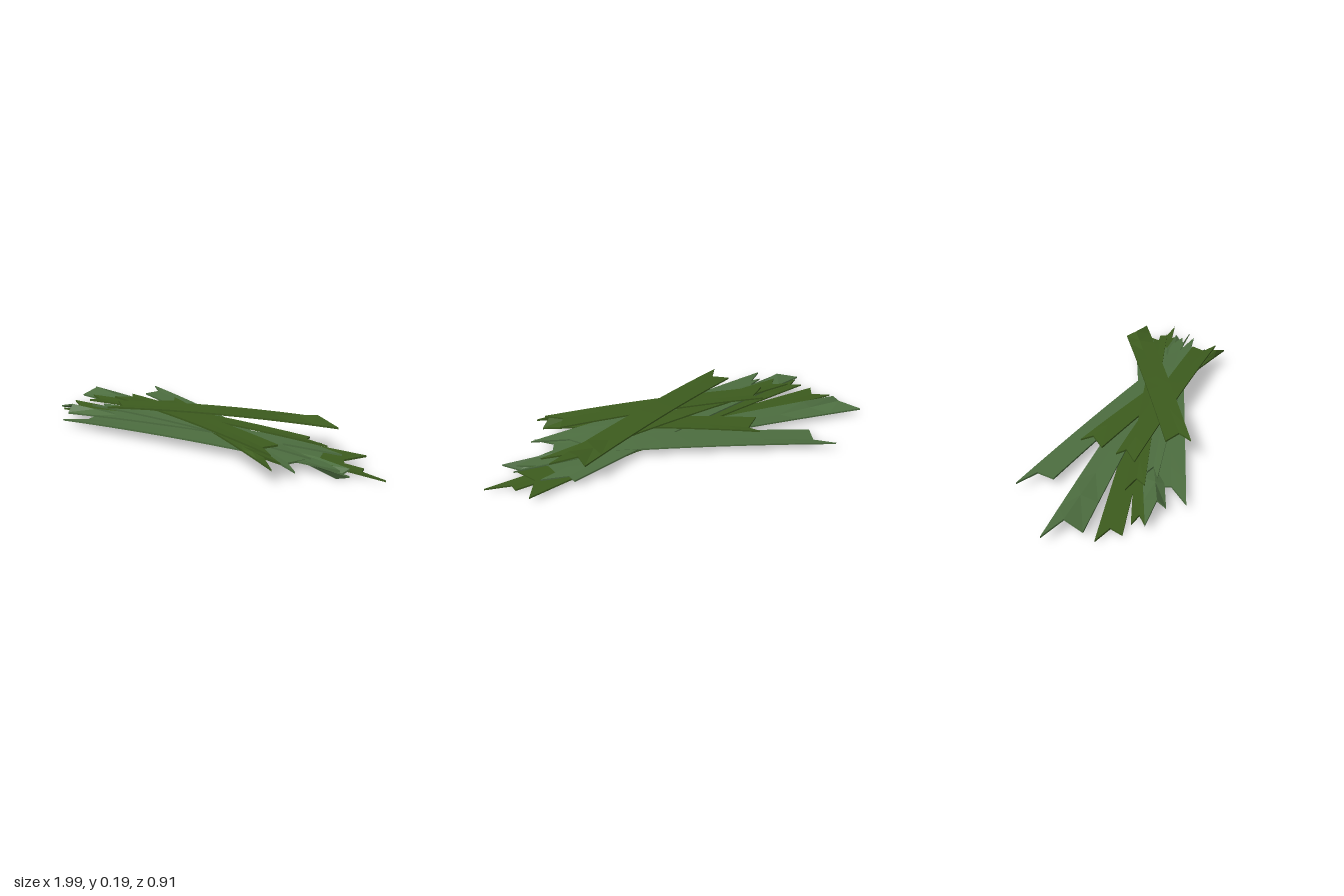
import * as THREE from 'three';

const DARK = new THREE.MeshStandardMaterial({ color: 0x3d5c1e, flatShading: true });
const LIGHT = new THREE.MeshStandardMaterial({ color: 0x4d6e40, flatShading: true });
const THICK = 0.009;
const BOW = 0.016;
const NOTCH = 0.06;

// Back corner, notch and front corner of one end; inward is +1 at the left end, -1 at the right
function endPoints({ x, z, width, skew = 0, lift = 0 }, inward) {
  return [
    new THREE.Vector3(x - skew / 2, 0, z - width / 2),
    new THREE.Vector3(x + inward * NOTCH, lift, z),
    new THREE.Vector3(x + skew / 2, 0, z + width / 2),
  ];
}

// A thin box stretched between two notched ends, bowed along its length, with curling tips
function makeBlade(name, material, height, left, right) {
  const geo = new THREE.BoxGeometry(1, THICK, 1, 10, 1, 2);
  const pos = geo.attributes.position;
  const leftEnd = endPoints(left, 1);
  const rightEnd = endPoints(right, -1);
  const p = new THREE.Vector3();
  for (let i = 0; i < pos.count; i++) {
    const u = pos.getX(i) + 0.5;
    const row = Math.round((pos.getZ(i) + 0.5) * 2);
    const a = leftEnd[row], b = rightEnd[row];
    p.lerpVectors(a, b, u);
    const nearEnd = Math.max(0, Math.abs(2 * u - 1) * 2.5 - 1.5);
    const curl = (u < 0.5 ? a.y : b.y) * nearEnd;
    const y = height + BOW * 4 * u * (1 - u) + curl + pos.getY(i);
    pos.setXYZ(i, p.x, y, p.z);
  }
  geo.computeVertexNormals();
  const blade = new THREE.Mesh(geo, material);
  blade.name = name;
  return blade;
}

export function createModel() {
  const pile = new THREE.Group();
  pile.name = 'bladePile';
  const add = (...args) => pile.add(makeBlade(...args));

  // Upper layers
  add('topBlade', DARK, 0.16,
    { x: -0.43, z: 0.247, width: 0.115, skew: 0.02 },
    { x: 0.63, z: -0.06, width: 0.1, skew: 0.14, lift: 0.026 });
  add('upperBlade', DARK, 0.13,
    { x: -0.545, z: 0.015, width: 0.09, skew: -0.05 },
    { x: 0.545, z: 0.335, width: 0.13, skew: 0.03 });
  add('straightBlade', DARK, 0.108,
    { x: -0.72, z: 0.08, width: 0.08, skew: 0.04 },
    { x: 0.64, z: 0.075, width: 0.07, skew: 0.12 });
  add('paleUpperBlade', LIGHT, 0.1,
    { x: -0.62, z: 0.145, width: 0.05, skew: -0.04 },
    { x: 0.575, z: 0.19, width: 0.16, skew: 0.23 });
  add('crossingBlade', DARK, 0.086,
    { x: -0.395, z: -0.165, width: 0.11, skew: -0.05 },
    { x: 0.59, z: 0.407, width: 0.085, lift: 0.028 });

  // Lower layers
  add('slantedBlade', LIGHT, 0.049,
    { x: -0.655, z: -0.38, width: 0.16, skew: 0.05 },
    { x: 0.635, z: 0.26, width: 0.16, skew: 0.03 });
  add('longPaleBlade', LIGHT, 0.041,
    { x: -0.975, z: -0.195, width: 0.17, skew: 0.05, lift: 0.03 },
    { x: 0.845, z: 0.2, width: 0.08, skew: 0.03, lift: -0.036 });
  add('curledBlade', LIGHT, 0.048,
    { x: -0.83, z: 0.18, width: 0.08, skew: 0.12, lift: 0.038 },
    { x: 0.67, z: -0.015, width: 0.09, skew: 0.14 });
  add('widePaleBlade', LIGHT, 0.04,
    { x: -0.675, z: 0.232, width: 0.145, skew: -0.11 },
    { x: 0.725, z: 0.115, width: 0.17, skew: 0.15 });
  add('lowerBlade', DARK, 0.035,
    { x: -0.875, z: 0.11, width: 0.06 },
    { x: 0.82, z: 0.055, width: 0.21, skew: -0.02 });
  add('bottomBlade', DARK, 0.014,
    { x: -0.945, z: -0.005, width: 0.11, skew: 0.05 },
    { x: 0.925, z: 0.1, width: 0.08, skew: 0.13 });
  return pile;
}
